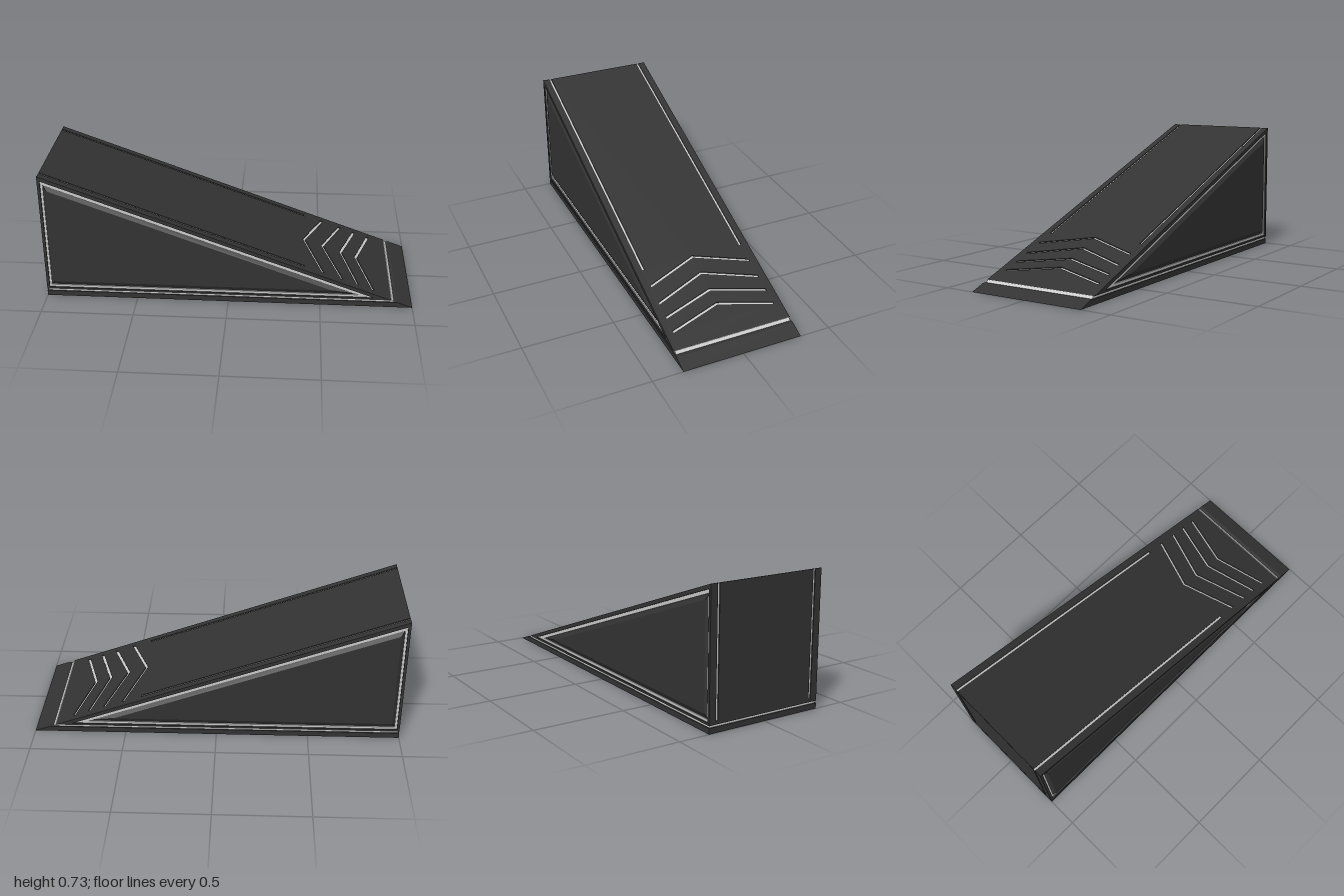
import * as THREE from 'three';

const SLOPE = 0.3635, T = 0.006, HALF = 0.333, CORE = 0.32;
const cos = Math.cos(Math.atan(SLOPE)), sin = Math.sin(Math.atan(SLOPE));
const slopeY = x => SLOPE * (1 - x);

const dark = new THREE.MeshStandardMaterial({ color: 0x333333 });
const light = new THREE.MeshStandardMaterial({ color: 0xcccccc });

const toPoints = list => list.map(([x, y]) => new THREE.Vector2(x, y));
const toShape = list => new THREE.Shape(toPoints(list));

// Wedge outline: left edge, bottom edge, and a vertical drop below the slope
function wedge(left, bottom, drop) {
  return [[left, bottom], [1 - (bottom + drop) / SLOPE, bottom], [left, slopeY(left) - drop]];
}

function mesh(name, geometry, material) {
  const m = new THREE.Mesh(geometry, material);
  m.name = name;
  return m;
}

// Extrude an outline from z0 to z1, with optional holes
function slab(name, outline, z0, z1, material, holes = []) {
  const shape = toShape(outline);
  shape.holes = holes.map(h => new THREE.Path(toPoints(h)));
  const geo = new THREE.ExtrudeGeometry(shape, { depth: z1 - z0, bevelEnabled: false });
  return mesh(name, geo.translate(0, 0, z0), material);
}

// Plate from a to b with two rail slots running from edge a to r
function notched(a, b, r) {
  const o = 0.294, i = 0.282;
  return [[a, -CORE], [b, -CORE], [b, CORE], [a, CORE], [a, o], [r, o], [r, i], [a, i],
    [a, -i], [r, -i], [r, -o], [a, -o]];
}

// Grooved plate over a light sheet that shows through the openings
function groovedPlate(name, a, b, r, holes) {
  const g = new THREE.Group();
  g.name = name;
  g.add(slab(name + 'Cover', notched(a, b, r), 0, T, dark, holes));
  const sheet = toShape([[a, -0.3], [b, -0.3], [b, 0.3], [a, 0.3]]);
  g.add(mesh(name + 'Inlay', new THREE.ShapeGeometry(sheet).translate(0, 0, 0.001), light));
  return g;
}

// Raised panel whose outer face shrinks to a smaller wedge
function bevelledPanel(base, top, z0, z1) {
  const m = slab('sidePanel', base, z0, z1, dark);
  const p = m.geometry.attributes.position;
  for (let i = 0; i < p.count; i++) {
    if (p.getZ(i) < (z0 + z1) / 2) continue;
    const k = base.findIndex(c => Math.hypot(c[0] - p.getX(i), c[1] - p.getY(i)) < 1e-4);
    p.setXY(i, top[k][0], top[k][1]);
  }
  m.geometry.computeVertexNormals();
  return m;
}

function createSide() {
  const g = new THREE.Group();
  const opening = wedge(-0.985, 0.053, 0.022);
  g.add(slab('sideFrame', wedge(-1, 0.042, 0), CORE, HALF, dark, [opening]));
  g.add(slab('sideStripe', opening, CORE, 0.326, light, [wedge(-0.973, 0.066, 0.041)]));
  g.add(bevelledPanel(wedge(-0.971, 0.07, 0.045), wedge(-0.955, 0.09, 0.068), CORE, 0.331));
  return g;
}

export function createModel() {
  const model = new THREE.Group();
  model.name = 'ramp';

  // Base plate with a thin front lip, and the light seam above it
  model.add(slab('basePlate', [[-1, 0], [1, 0], [0.917, 0.03], [-1, 0.03]], -HALF, HALF, dark));
  model.add(slab('seam', [[-0.994, 0.03], [0.9, 0.03], [0.886, 0.042], [-0.994, 0.042]],
    -0.327, 0.327, light));

  // Inner body, set in by the plate thickness
  model.add(slab('body', wedge(-1 + T, 0.042, T / cos), -CORE, CORE, dark));

  // Sloped deck with rail grooves and four chevron grooves
  const xs = [0.4, 0.505, 0.61, 0.696, 0.78], w = 0.013, zEnd = 0.29;
  const chevrons = xs.slice(0, 4).map((tip, i) => {
    const end = xs[i + 1];
    return [[tip, 0], [end, zEnd], [end + w, zEnd], [tip + w, 0], [end + w, -zEnd], [end, -zEnd]]
      .map(([x, z]) => [x / cos, z]);
  });
  const deck = groovedPlate('deck', -0.998 / cos, 0.884 / cos, 0.41 / cos, chevrons);
  deck.applyMatrix4(new THREE.Matrix4().makeBasis(
    new THREE.Vector3(cos, -sin, 0), new THREE.Vector3(0, 0, -1), new THREE.Vector3(sin, cos, 0)
  ).setPosition(-T * sin, SLOPE - T * cos, 0));
  model.add(deck);

  // Upright end wall with matching rail grooves
  const wall = groovedPlate('endWall', -0.724, -0.042, -0.06, []);
  wall.applyMatrix4(new THREE.Matrix4().makeBasis(
    new THREE.Vector3(0, -1, 0), new THREE.Vector3(0, 0, 1), new THREE.Vector3(-1, 0, 0)
  ).setPosition(-1 + T, 0, 0));
  model.add(wall);

  // Framed side panels, mirrored front to back
  for (const s of [1, -1]) {
    const side = createSide();
    side.name = s > 0 ? 'frontSide' : 'backSide';
    side.scale.z = s;
    model.add(side);
  }
  return model;
}
